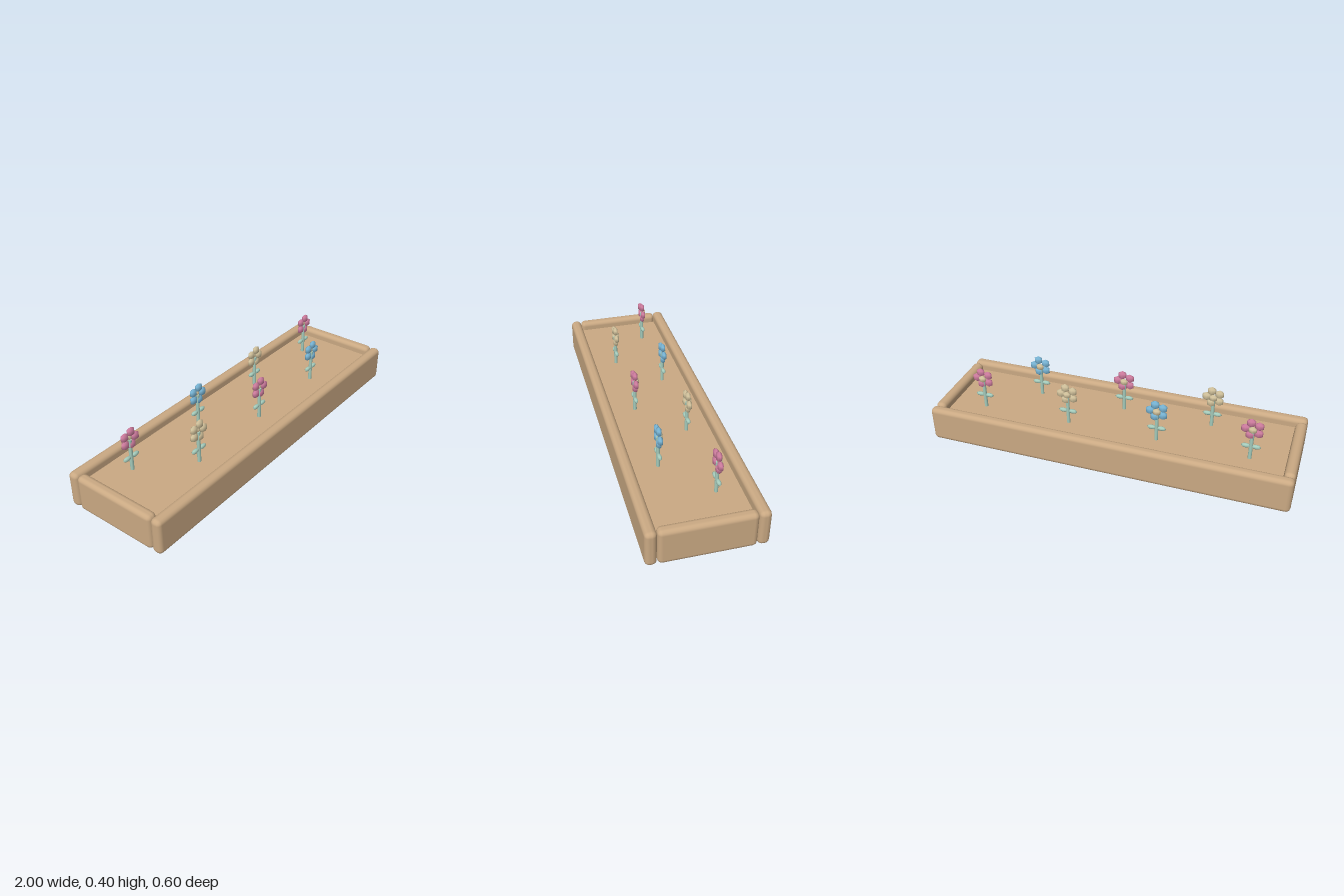
import * as THREE from 'three';
import { RoundedBoxGeometry } from 'three/addons/geometries/RoundedBoxGeometry.js';

const material = (name, color) => {
  const m = new THREE.MeshStandardMaterial({ color });
  m.name = name;
  return m;
};

export function createModel() {
  const wood = material('tan wood', 0xcaa983);
  const green = material('pale green', 0xa6cdbd);
  const pink = material('pink', 0xd37fa2);
  const cream = material('cream', 0xd6c69f);
  const blue = material('blue', 0x7bb9da);

  const model = new THREE.Group();
  model.name = 'flowerPlanter';

  const add = (parent, name, geometry, mat, x, y, z) => {
    const mesh = new THREE.Mesh(geometry, mat);
    mesh.name = name;
    mesh.position.set(x, y, z);
    parent.add(mesh);
    return mesh;
  };

  // Planter frame: two long boards with two end boards between them
  const longBoard = new RoundedBoxGeometry(2, 0.2, 0.06, 2, 0.025);
  const endBoard = new RoundedBoxGeometry(0.06, 0.2, 0.48, 2, 0.025);
  for (const [side, s] of [['front', 1], ['back', -1]])
    add(model, side + 'Board', longBoard, wood, 0, 0.1, s * 0.27);
  for (const [side, s] of [['left', 1], ['right', -1]])
    add(model, side + 'Board', endBoard, wood, s * 0.97, 0.1, 0);

  // Bed surface, set between the boards and open to below
  add(model, 'bed', new THREE.BoxGeometry(1.875, 0.09, 0.468), wood, 0, 0.11, 0);

  // Shared flower geometry: blunt low-poly ellipsoids
  const ellipsoid = (rx, ry, rz, rows) => new THREE.SphereGeometry(1, 8, rows).scale(rx, ry, rz);
  const petal = ellipsoid(0.026, 0.026, 0.0155, 3);
  const heart = ellipsoid(0.024, 0.021, 0.0155, 3);
  const leaf = ellipsoid(0.026, 0.012, 0.012, 4);
  const stem = new THREE.CylinderGeometry(0.01, 0.01, 0.2, 8);
  const headY = 0.3385;

  const makeFlower = (mat) => {
    const flower = new THREE.Group();
    flower.name = 'flower';
    add(flower, 'stem', stem, green, 0, 0.235, 0);
    for (const s of [-1, 1]) add(flower, 'leaf', leaf, green, s * 0.027, 0.232, 0);
    for (let i = 0; i < 5; i++) {
      const a = (i / 5) * Math.PI * 2;
      add(flower, 'petal', petal, mat, 0.038 * Math.cos(a), headY + 0.038 * Math.sin(a), 0);
    }
    add(flower, 'flowerCentre', heart, cream, 0, headY, -0.01);
    return flower;
  };

  // Seven flowers, staggered in two rows
  const colours = [pink, cream, blue];
  for (let i = 0; i < 7; i++) {
    const flower = makeFlower(colours[i % 3]);
    flower.position.set(-0.75 + i * 0.25, 0, i % 2 ? 0.11 : -0.11);
    model.add(flower);
  }
  return model;
}
